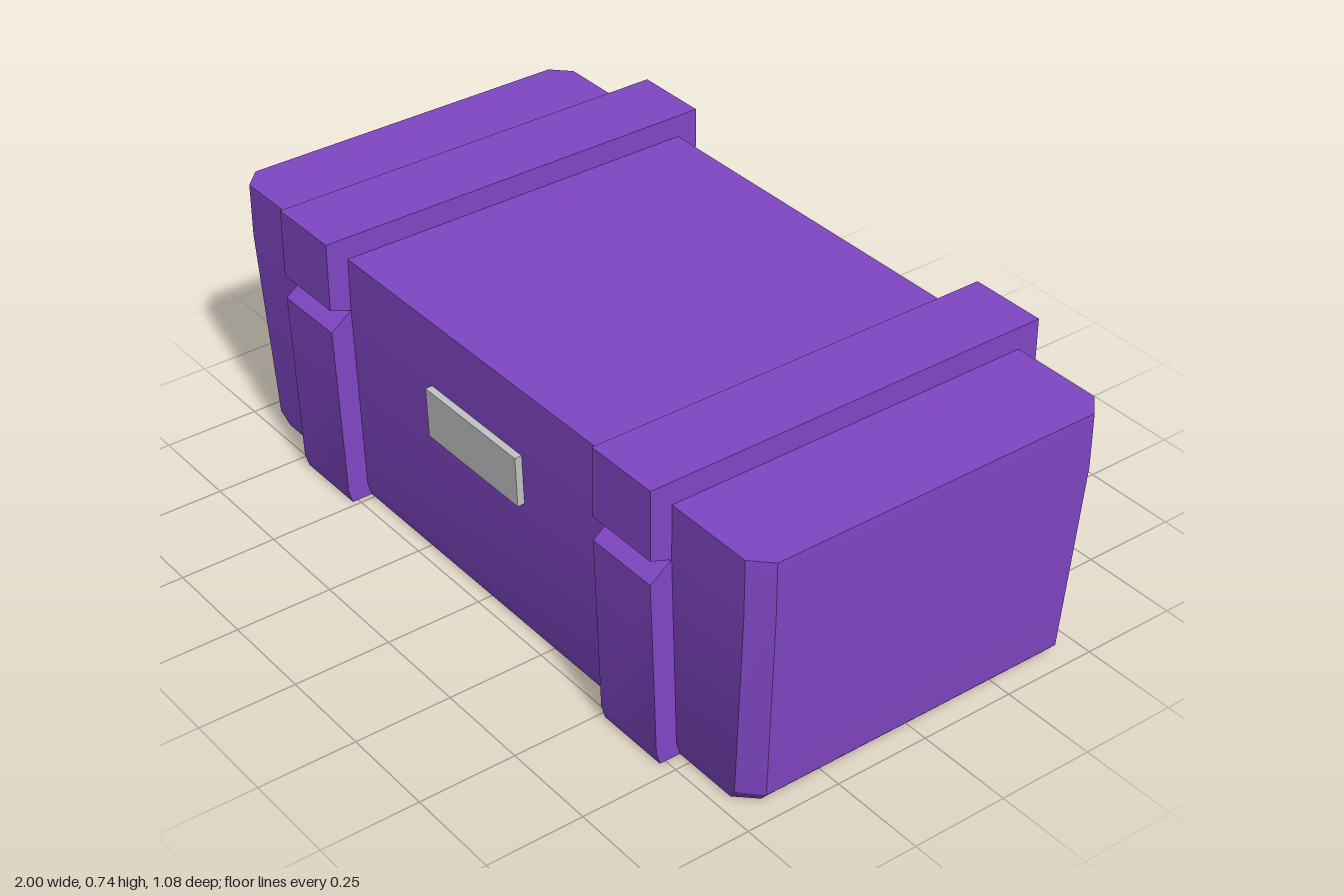
import * as THREE from 'three';
import { toCreasedNormals } from 'three/addons/utils/BufferGeometryUtils.js';

const CREASE = 0.5;

// Body skin: chamfered rectangles stacked upwards. Each level is
// [y, half width, half width inside chamfer, half depth, half depth inside chamfer]
function loftGeometry(levels) {
  const rings = levels.map(([y, hx, ix, hz, iz]) =>
    [[hx, -iz], [hx, iz], [ix, hz], [-ix, hz], [-hx, iz], [-hx, -iz], [-ix, -hz], [ix, -hz]]
      .map(([x, z]) => [x, y, z]));
  const pos = [];
  const tri = (a, b, c) => pos.push(...a, ...b, ...c);
  for (let k = 0; k < rings.length - 1; k++) {
    const lo = rings[k], up = rings[k + 1];
    for (let i = 0; i < 8; i++) {
      const j = (i + 1) % 8;
      tri(lo[j], lo[i], up[i]);
      tri(lo[j], up[i], up[j]);
    }
  }
  // Closed floor and lid
  const floor = rings[0], lid = rings[rings.length - 1];
  for (let i = 1; i < 7; i++) {
    tri(floor[0], floor[i], floor[i + 1]);
    tri(lid[0], lid[i + 1], lid[i]);
  }
  const g = new THREE.BufferGeometry();
  g.setAttribute('position', new THREE.Float32BufferAttribute(pos, 3));
  return toCreasedNormals(g, CREASE);
}

// Strap: notched side profile, mirrored front to back and extruded across x
function strapGeometry(width) {
  const half = [[0.515, 0], [0.525, 0.035], [0.542, 0.498], [0.487, 0.54], [0.542, 0.56], [0.542, 0.738]];
  const outline = [...half, ...half.slice().reverse().map(([z, y]) => [-z, y])];
  const shape = new THREE.Shape(outline.map(([z, y]) => new THREE.Vector2(z, y)));
  const g = new THREE.ExtrudeGeometry(shape, { depth: width, bevelEnabled: false });
  g.translate(0, 0, -width / 2).rotateY(Math.PI / 2);
  return toCreasedNormals(g, CREASE);
}

export function createModel() {
  const purple = new THREE.MeshStandardMaterial({ color: 0x8046c4 });
  purple.name = 'purple';
  const grey = new THREE.MeshStandardMaterial({ color: 0xc2c2c2 });
  grey.name = 'light grey';

  const model = new THREE.Group();
  model.name = 'chest';
  const add = (name, geometry, material) => {
    const mesh = new THREE.Mesh(geometry, material);
    mesh.name = name;
    model.add(mesh);
    return mesh;
  };

  // Tapered case with chamfered corners
  add('body', loftGeometry([
    [0, 0.935, 0.89, 0.46, 0.413],
    [0.035, 0.965, 0.915, 0.47, 0.423],
    [0.54, 1, 0.953, 0.486, 0.44],
    [0.68, 1, 0.953, 0.486, 0.44],
  ]), purple);

  // Two raised straps
  for (const side of [1, -1]) {
    const strap = add(side > 0 ? 'leftStrap' : 'rightStrap', strapGeometry(0.2), purple);
    strap.position.x = side * 0.614;
  }

  // Latch plate on the front, leaning with the wall
  const plate = add('latchPlate', new THREE.BoxGeometry(0.352, 0.132, 0.03), grey);
  plate.position.set(-0.003, 0.438, 0.486);
  plate.rotation.x = 0.032;

  return model;
}
